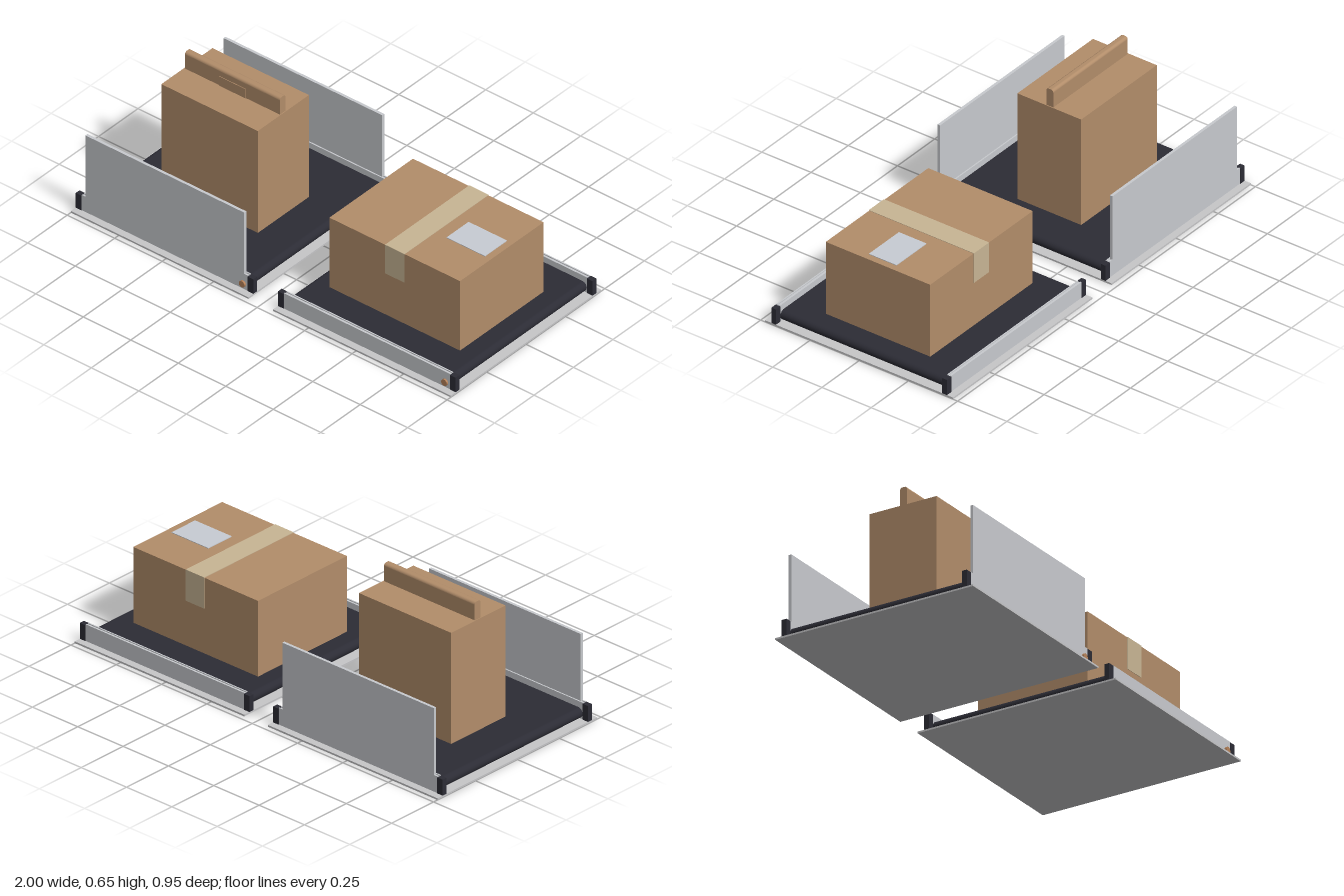
import * as THREE from 'three';

const mat = (name, color) => {
  const m = new THREE.MeshStandardMaterial({ color });
  m.name = name;
  return m;
};

export function createModel() {
  const steel = mat('pale grey plate', 0xc6c6c8);
  const alloy = mat('light alloy', 0xc8cace);
  const dark = mat('dark rubber', 0x2c2c35);
  const card = mat('cardboard', 0xb28d6a);
  const tapeMat = mat('packing tape', 0xc8b594);
  const paper = mat('label paper', 0xc8ccd3);
  const copper = mat('copper', 0xb5825a);

  // box given by its limits on each axis
  const box = (parent, name, m, x0, x1, y0, y1, z0, z1) => {
    const mesh = new THREE.Mesh(new THREE.BoxGeometry(x1 - x0, y1 - y0, z1 - z0), m);
    mesh.position.set((x0 + x1) / 2, (y0 + y1) / 2, (z0 + z1) / 2);
    mesh.name = name;
    parent.add(mesh);
    return mesh;
  };

  // one conveyor cell, centred on its own x = 0
  const conveyor = (name, guards) => {
    const g = new THREE.Group();
    g.name = name;
    box(g, 'basePlate', steel, -0.4675, 0.4675, 0, 0.008, -0.477, 0.477);

    // belt loop with rounded ends
    const r = 0.0235, half = 0.412;
    const s = new THREE.Shape();
    s.moveTo(-half, -r);
    s.lineTo(half, -r);
    s.absarc(half, 0, r, -Math.PI / 2, Math.PI / 2, false);
    s.lineTo(-half, r);
    s.absarc(-half, 0, r, Math.PI / 2, Math.PI * 1.5, false);
    const beltGeo = new THREE.ExtrudeGeometry(s, { depth: 0.85, bevelEnabled: false, curveSegments: 12 });
    beltGeo.translate(0, 0.009 + r, -0.425);
    const belt = new THREE.Mesh(beltGeo, dark);
    belt.name = 'belt';
    g.add(belt);

    for (const side of [1, -1]) {
      // side rail with a shallow groove along its top
      const p = new THREE.Shape([
        [0.424, 0.008], [0.444, 0.008], [0.444, 0.084], [0.438, 0.084],
        [0.438, 0.08], [0.430, 0.08], [0.430, 0.084], [0.424, 0.084],
      ].map(([z, y]) => new THREE.Vector2(-z * side, y)));
      const railGeo = new THREE.ExtrudeGeometry(p, { depth: 0.875, bevelEnabled: false });
      railGeo.translate(0, 0, -0.4375).rotateY(Math.PI / 2);
      const rail = new THREE.Mesh(railGeo, alloy);
      rail.name = 'sideRail';
      g.add(rail);

      const span = (a, b) => side > 0 ? [a, b] : [-b, -a];
      // dark caps at both rail ends
      for (const e of [-1, 1]) {
        const [x0, x1] = e > 0 ? [0.4375, 0.4675] : [-0.4675, -0.4375];
        box(g, 'railEndCap', dark, x0, x1, 0.008, 0.081, ...span(0.422, 0.446));
      }
      if (guards) box(g, 'guardPanel', alloy, -0.418, 0.418, 0.08, 0.39, ...span(0.431, 0.444));
    }

    // round sensor on the front rail
    const sensor = new THREE.Mesh(new THREE.CylinderGeometry(0.015, 0.015, 0.01, 24), copper);
    sensor.rotation.x = Math.PI / 2;
    sensor.position.set(0.412, 0.034, 0.448);
    sensor.name = 'sensor';
    g.add(sensor);
    return g;
  };

  const model = new THREE.Group();
  model.name = 'conveyorPair';
  const bagCell = conveyor('bagConveyor', true);
  bagCell.position.x = -0.5325;
  const boxCell = conveyor('boxConveyor', false);
  boxCell.position.x = 0.5325;
  model.add(bagCell, boxCell);

  // paper bag with rolled top
  const bag = new THREE.Group();
  bag.name = 'paperBag';
  box(bag, 'bagBody', card, -0.785, -0.277, 0.057, 0.566, -0.162, 0.162);
  const w = 0.0175, top = 0.648, cr = 0.012;
  const roll = new THREE.Shape();
  roll.moveTo(-w, 0.565);
  roll.lineTo(w, 0.565);
  roll.lineTo(w, top - cr);
  roll.absarc(w - cr, top - cr, cr, 0, Math.PI / 2, false);
  roll.lineTo(-w + cr, top);
  roll.absarc(-w + cr, top - cr, cr, Math.PI / 2, Math.PI, false);
  roll.lineTo(-w, 0.565);
  const rollGeo = new THREE.ExtrudeGeometry(roll, { depth: 0.5, bevelEnabled: false, curveSegments: 8 });
  rollGeo.rotateY(Math.PI / 2).translate(-0.781, 0, 0);
  const rolledTop = new THREE.Mesh(rollGeo, card);
  rolledTop.name = 'rolledTop';
  bag.add(rolledTop);
  box(bag, 'foldFlap', card, -0.6, -0.46, 0.566, 0.612, 0.0175, 0.0205);
  model.add(bag);

  // carton with tape and label
  const carton = new THREE.Group();
  carton.name = 'carton';
  box(carton, 'cartonBody', card, 0.185, 0.873, 0.057, 0.404, -0.265, 0.265);
  box(carton, 'tapeTop', tapeMat, 0.48, 0.582, 0.403, 0.406, -0.267, 0.267);
  box(carton, 'tapeFront', tapeMat, 0.48, 0.582, 0.263, 0.406, 0.264, 0.267);
  box(carton, 'tapeBack', tapeMat, 0.48, 0.582, 0.263, 0.406, -0.267, -0.264);
  box(carton, 'label', paper, 0.64, 0.842, 0.403, 0.407, -0.07, 0.07);
  model.add(carton);

  return model;
}
